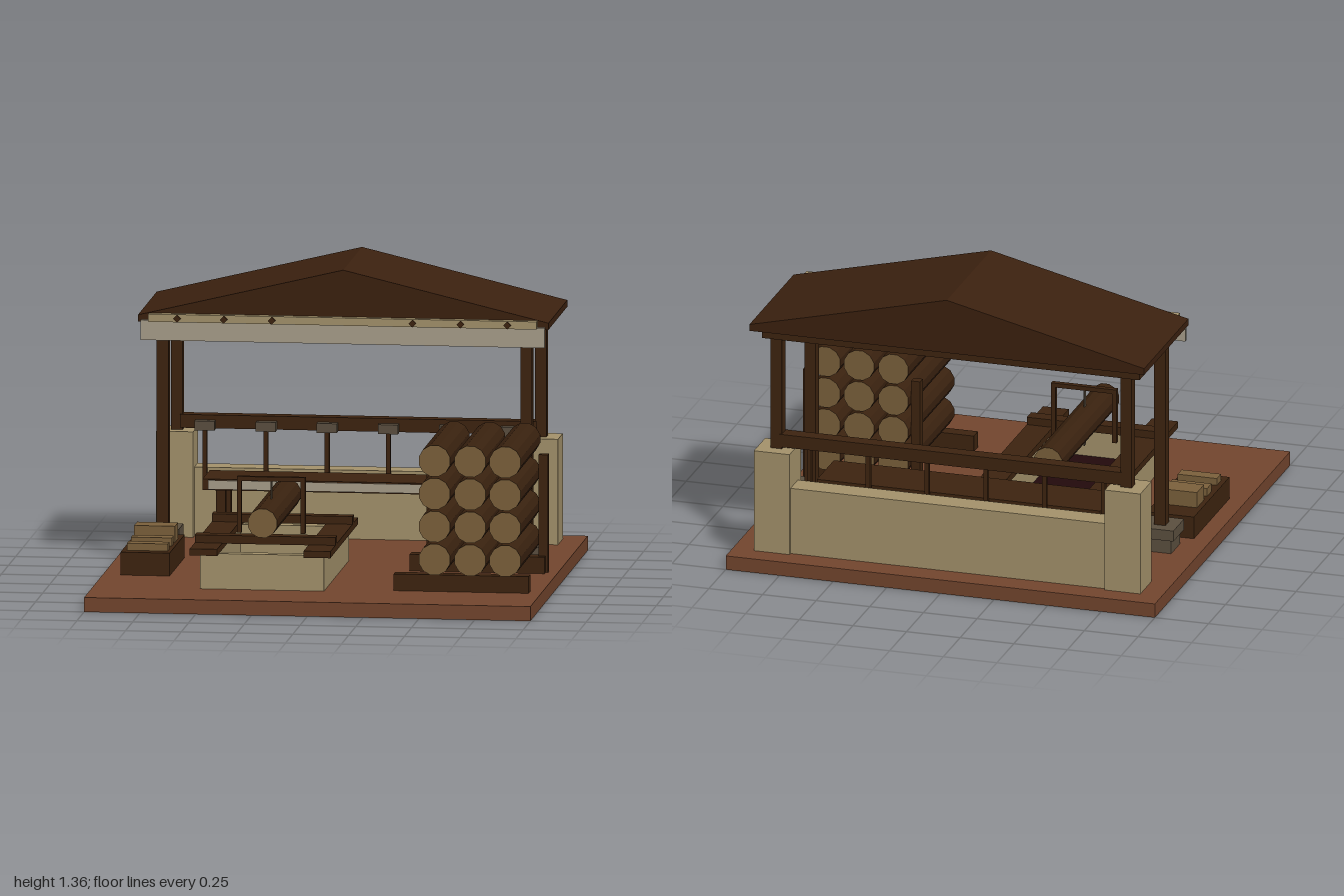
import * as THREE from 'three';

const mat = (name, color) => {
  const m = new THREE.MeshStandardMaterial({ color, flatShading: true });
  m.name = name;
  return m;
};

export function createModel() {
  const root = new THREE.Group();
  root.name = 'sawyersYard';

  const earth = mat('earth', 0x74462e);
  const wood = mat('darkWood', 0x3e2410);
  const roofMat = mat('roofBoards', 0x3c210f);
  const bark = mat('bark', 0x3a220f);
  const cutWood = mat('cutWood', 0x7c613c);
  const plaster = mat('plaster', 0xa5936c);
  const stone = mat('stone', 0x5c5040);
  const pale = mat('paleBoard', 0xaaa08c);
  const dark = mat('pitFloor', 0x220a0c);

  // Box given by its extents on each axis
  const box = (name, material, x0, x1, y0, y1, z0, z1, parent = root) => {
    const m = new THREE.Mesh(new THREE.BoxGeometry(x1 - x0, y1 - y0, z1 - z0), material);
    m.position.set((x0 + x1) / 2, (y0 + y1) / 2, (z0 + z1) / 2);
    m.name = name;
    parent.add(m);
    return m;
  };
  // Log lying along z, with pale sawn ends
  const log = (name, x, y, r, z0, z1, parent = root) => {
    const g = new THREE.CylinderGeometry(r, r, z1 - z0, 12);
    g.rotateY(Math.PI / 12).rotateX(Math.PI / 2);
    const m = new THREE.Mesh(g, [bark, cutWood, cutWood]);
    m.position.set(x, y, (z0 + z1) / 2);
    m.name = name;
    parent.add(m);
  };
  const group = (name) => {
    const g = new THREE.Group();
    g.name = name;
    root.add(g);
    return g;
  };

  box('ground', earth, -1, 1, 0, 0.065, -1, 1);

  // Gabled roof
  const gable = new THREE.Shape([[-0.92, 1.11], [0.92, 1.11], [0.92, 1.14], [0, 1.36], [-0.92, 1.14]]
    .map(([x, y]) => new THREE.Vector2(x, y)));
  const roof = new THREE.Mesh(new THREE.ExtrudeGeometry(gable, { depth: 0.655, bevelEnabled: false }), roofMat);
  roof.position.z = -0.905;
  roof.name = 'roof';
  root.add(roof);

  // Eaves boards and pegs
  const eaves = group('eaves');
  box('fascia', pale, -0.905, 0.905, 1.03, 1.12, -0.25, -0.232, eaves);
  box('trim', plaster, -0.87, 0.87, 1.115, 1.15, -0.25, -0.217, eaves);
  for (const x of [0.315, 0.53, 0.74]) for (const s of [-1, 1]) {
    const peg = box('peg', wood, -0.012, 0.012, -0.012, 0.012, -0.012, 0.012, eaves);
    peg.position.set(s * x, 1.132, -0.217);
    peg.rotation.z = Math.PI / 4;
  }

  // Posts, footings and top beams
  const frame = group('shelterFrame');
  box('frontBeam', wood, -0.88, 0.88, 1.06, 1.115, -0.35, -0.265, frame);
  box('backBeam', wood, -0.88, 0.88, 1.06, 1.115, -0.848, -0.782, frame);
  for (const s of [-0.815, 0.815]) {
    box('frontPost', wood, s - 0.026, s + 0.026, 0.17, 1.08, -0.341, -0.289, frame);
    box('backPost', wood, s - 0.026, s + 0.026, 0.53, 1.08, -0.841, -0.789, frame);
    box('lowerFooting', stone, s - 0.065, s + 0.065, 0.06, 0.13, -0.38, -0.25, frame);
    box('upperFooting', stone, s - 0.08, s + 0.08, 0.13, 0.18, -0.395, -0.235, frame);
  }

  // Back wall with end piers
  const wall = group('backWall');
  box('lowWall', plaster, -0.75, 0.75, 0.06, 0.375, -0.885, -0.775, wall);
  for (const s of [-0.8175, 0.8175]) box('pier', plaster, s - 0.083, s + 0.083, 0.06, 0.54, -0.9, -0.732, wall);

  // Tool rail with hanging tools
  const rail = group('toolRail');
  box('rail', wood, -0.8, 0.8, 0.55, 0.61, -0.845, -0.78, rail);
  for (let i = 0; i < 6; i++) {
    const x = -0.685 + i * 0.274;
    box('toolHead', stone, x - 0.045, x + 0.045, 0.546, 0.588, -0.785, -0.74, rail);
    box('toolHandle', wood, x - 0.01, x + 0.01, 0.29, 0.55, -0.768, -0.748, rail);
  }

  // Workbench
  const bench = group('workbench');
  box('benchTop', wood, -0.66, 0.66, 0.32, 0.37, -0.73, -0.48, bench);
  box('benchEdge', pale, -0.635, 0.635, 0.325, 0.365, -0.48, -0.473, bench);
  for (const x of [-0.58, 0.58]) for (const z of [-0.7, -0.515])
    box('benchLeg', wood, x - 0.021, x + 0.021, 0.06, 0.32, z - 0.019, z + 0.019, bench);

  // Saw pit
  const pit = group('sawPit');
  for (const [a, b] of [[-0.52, -0.445], [-0.04, 0.035]])
    box('pitSide', plaster, a, b, 0.06, 0.225, -0.18, 0.69, pit);
  for (const [a, b] of [[-0.18, -0.13], [0.64, 0.69]])
    box('pitEnd', plaster, -0.445, -0.04, 0.06, 0.225, a, b, pit);
  box('pitFloor', dark, -0.445, -0.04, 0.06, 0.08, -0.13, 0.64, pit);
  for (const [a, b] of [[-0.56, -0.437], [-0.05, 0.07]])
    box('pitRail', wood, a, b, 0.222, 0.252, -0.225, 0.74, pit);
  for (const [a, b] of [[-0.087, -0.03], [0.5, 0.565]])
    box('pitCrossbeam', wood, -0.56, 0.07, 0.25, 0.287, a, b, pit);
  log('sawnLog', -0.245, 0.36, 0.067, -0.185, 0.66, pit);

  // Frame saw around the log
  const saw = group('frameSaw');
  box('sawTop', wood, -0.395, -0.09, 0.503, 0.523, 0.35, 0.375, saw);
  for (const x of [-0.385, -0.1]) box('sawSide', wood, x - 0.01, x + 0.01, 0.27, 0.51, 0.35, 0.375, saw);
  box('sawBlade', stone, -0.246, -0.24, 0.24, 0.505, 0.352, 0.373, saw);

  // Log stack on its rack
  const stack = group('logStack');
  for (const x of [0.525, 0.685, 0.842]) for (let i = 0; i < 4; i++)
    log('stackedLog', x, 0.211 + i * 0.148, 0.072, -0.03, 0.65, stack);
  box('backBearer', wood, 0.34, 0.945, 0.06, 0.14, 0.015, 0.08, stack);
  box('frontBearer', wood, 0.34, 0.945, 0.06, 0.14, 0.572, 0.634, stack);
  for (const x of [0.432, 0.935]) box('rackPost', wood, x - 0.021, x + 0.021, 0.06, 0.595, 0.005, 0.045, stack);

  // Plank pile
  const pile = group('plankPile');
  box('timberBlock', wood, -0.92, -0.7, 0.06, 0.168, -0.17, 0.355, pile);
  for (const [z0, z1, top] of [[-0.055, 0.05, 0.24], [0.095, 0.16, 0.205], [0.24, 0.3, 0.2]])
    box('plank', cutWood, -0.898, -0.715, 0.165, top, z0, z1, pile);

  return root;
}
